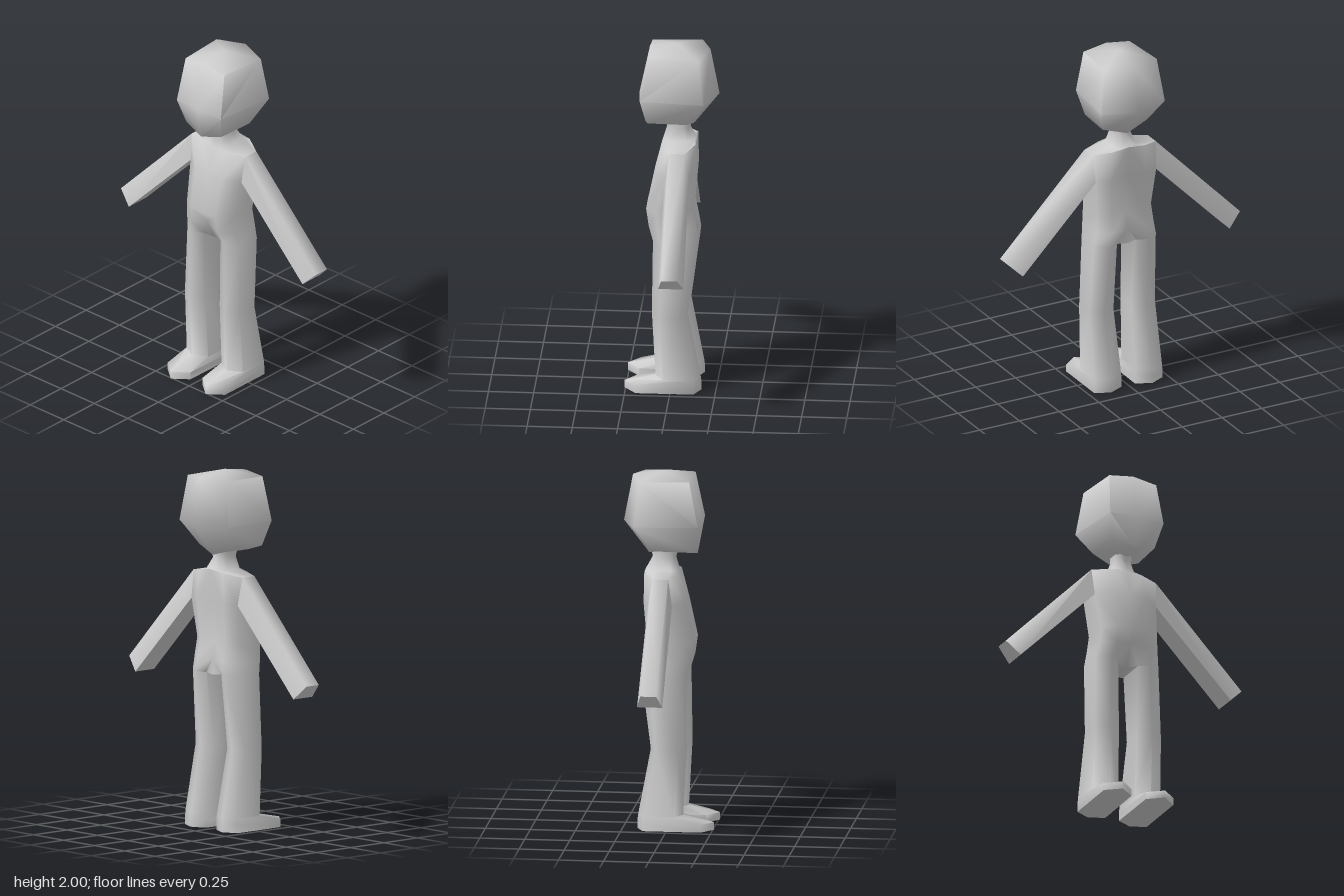
import * as THREE from 'three';
import { toCreasedNormals } from 'three/addons/utils/BufferGeometryUtils.js';

const material = new THREE.MeshStandardMaterial({ color: 0xcccccc });

// Skin rings listed bottom to top, each running front -> left -> back; the first ring is capped.
// Walls lying on the mirror plane are left open.
function loft(rings) {
  const tris = [];
  const n = rings[0].length;
  for (let i = 1; i < n - 1; i++) tris.push([rings[0][0], rings[0][i + 1], rings[0][i]]);
  for (let r = 0; r < rings.length - 1; r++) {
    const lo = rings[r], hi = rings[r + 1];
    for (let i = 0; i < n; i++) {
      const j = (i + 1) % n;
      if (j === 0 && hi[0][0] === 0) continue;
      tris.push([lo[i], lo[j], hi[j]], [lo[i], hi[j], hi[i]]);
    }
  }
  return tris;
}

const mirror = (tris) => tris.map((t) => [t[0], t[2], t[1]].map(([x, y, z]) => [-x, y, z]));

function makeMesh(name, tris) {
  const area = new THREE.Triangle();
  const solid = tris.filter((t) => {
    area.set(...t.map((p) => new THREE.Vector3(...p)));
    return area.getArea() > 1e-7;
  });
  const geometry = new THREE.BufferGeometry();
  geometry.setAttribute('position', new THREE.Float32BufferAttribute(solid.flat(2), 3));
  const mesh = new THREE.Mesh(toCreasedNormals(geometry, 1.4), material);
  mesh.name = name;
  return mesh;
}

// Ring at one height from [x, z] pairs
const level = (y, pts) => pts.map(([x, z]) => [x, y, z]);

export function createModel() {
  const group = new THREE.Group();
  group.name = 'figure';

  // Left half of feet, legs, torso and neck
  const sole = [[0.045, 0.19], [0.13, 0.257], [0.215, 0.19], [0.215, -0.13], [0.13, -0.17], [0.042, -0.13]];
  const crotch = [[0.06, 0.865, 0.06], [0.12, 0.87, 0.1], [0.195, 0.87, 0.05],
    [0.195, 0.87, -0.09], [0.12, 0.87, -0.15], [0.06, 0.865, -0.11]];
  const hip = [[0, 0.98, 0.1], [0.1, 0.95, 0.125], [0.18, 0.95, 0.07],
    [0.18, 0.95, -0.09], [0.1, 0.95, -0.14], [0, 0.95, -0.12]];
  const half = loft([
    level(0, sole),
    level(0.043, sole),
    level(0.08, [[0.05, 0.04], [0.13, 0.085], [0.21, 0.04], [0.212, -0.13], [0.13, -0.165], [0.045, -0.13]]),
    level(0.45, [[0.055, 0.06], [0.13, 0.105], [0.205, 0.06], [0.205, -0.06], [0.13, -0.095], [0.055, -0.06]]),
    crotch,
    hip,
    level(1.05, [[0, 0.14], [0.09, 0.14], [0.17, 0.08], [0.17, -0.08], [0.1, -0.12], [0, -0.105]]),
    level(1.27, [[0, 0.095], [0.1, 0.09], [0.19, 0.03], [0.19, -0.105], [0.11, -0.138], [0, -0.125]]),
    [[0, 1.43, 0.055], [0.09, 1.43, 0.05], [0.2, 1.42, 0.01], [0.2, 1.42, -0.08], [0.1, 1.44, -0.135], [0, 1.45, -0.135]],
    level(1.445, [[0, 0.05], [0.045, 0.04], [0.07, 0.01], [0.07, -0.08], [0.05, -0.125], [0, -0.135]]),
    level(1.51, [[0, 0.03], [0.03, 0.025], [0.05, 0], [0.05, -0.06], [0.03, -0.09], [0, -0.1]]),
    level(1.56, [[0, 0.045], [0.03, 0.04], [0.05, 0.01], [0.05, -0.06], [0.03, -0.1], [0, -0.11]]),
  ]);

  // Crotch bridge between the legs
  const front = [0, 0.855, 0.04], back = [0, 0.86, -0.12];
  half.push([hip[0], front, crotch[0]], [front, back, crotch[5]],
    [front, crotch[5], crotch[0]], [hip[5], crotch[5], back]);
  group.add(makeMesh('body', [...half, ...mirror(half)]));

  // Head, closed to a shallow peak
  const peak = [0, 2, -0.03];
  const headHalf = loft([
    [[0, 1.532, 0.15], [0.13, 1.57, 0.13], [0.14, 1.57, -0.09], [0, 1.53, -0.12]],
    [[0, 1.71, 0.182], [0.165, 1.71, 0.17], [0.2, 1.71, -0.185], [0, 1.71, -0.26]],
    [[0, 1.98, 0.125], [0.145, 1.96, 0.12], [0.165, 1.96, -0.155], [0, 1.97, -0.21]],
    [peak, peak, peak, peak],
  ]);
  group.add(makeMesh('head', [...headHalf, ...mirror(headHalf)]));

  // Arms, hand end first
  const arm = loft([
    [[0.65, 0.797, 0.033], [0.73, 0.875, 0.01], [0.73, 0.875, -0.08], [0.65, 0.797, -0.107]],
    [[0.185, 1.27, 0.03], [0.2, 1.42, 0.01], [0.2, 1.42, -0.08], [0.185, 1.27, -0.105]],
  ]);
  group.add(makeMesh('leftArm', arm), makeMesh('rightArm', mirror(arm)));

  return group;
}
